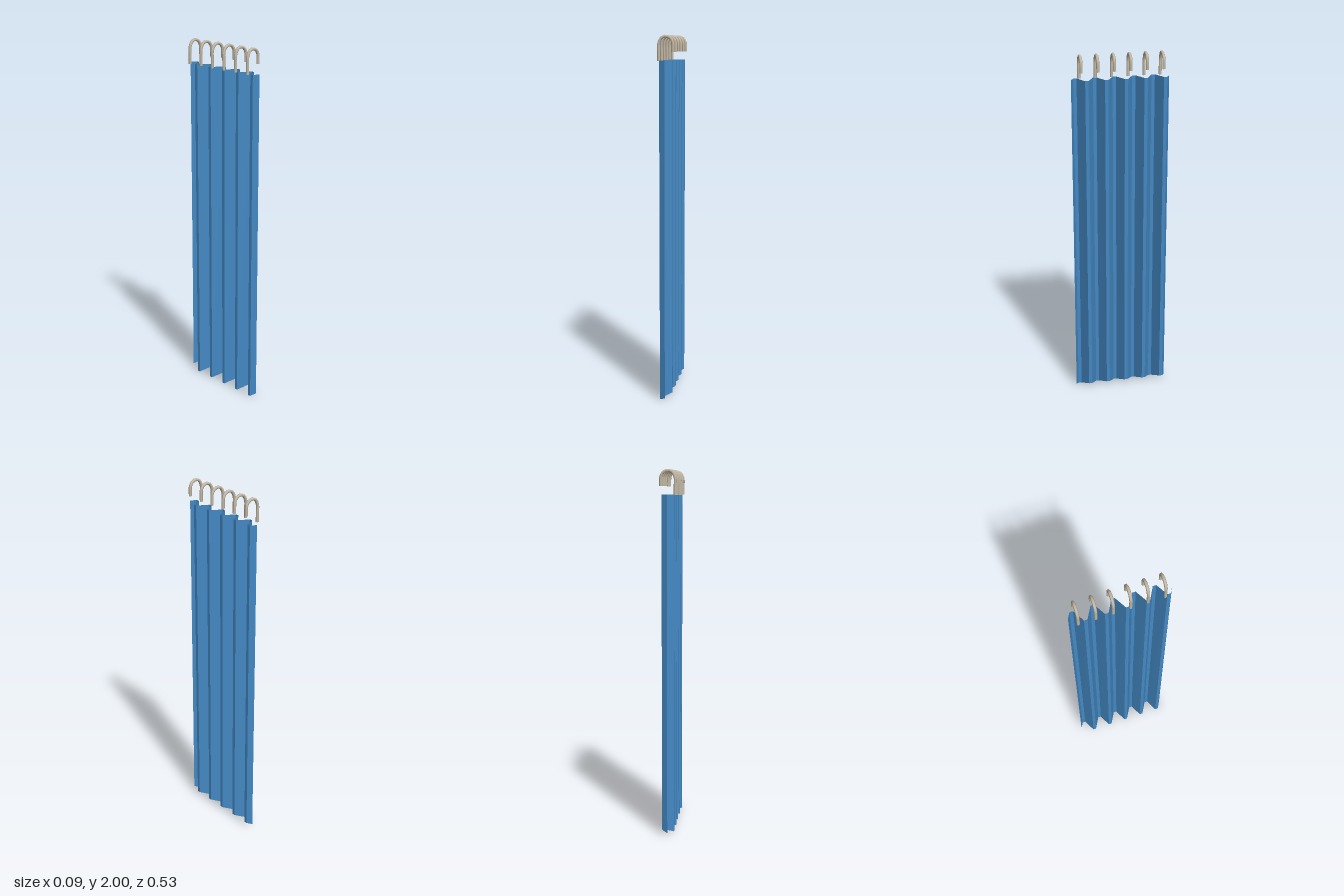
import * as THREE from 'three';

const clothBlue = new THREE.MeshStandardMaterial({ color: 0x4489c4, side: THREE.DoubleSide, flatShading: true });
const hookMetal = new THREE.MeshStandardMaterial({ color: 0xc8bda8, side: THREE.DoubleSide });

const TOP = 1.865;

// Plan of the pleats: [side, z], side being -1, 0 or 1 across the cloth
function pleatPlan() {
  const plan = [[0, -0.268]];
  for (let i = 0; i < 10; i++) {
    const side = i % 2 ? -1 : 1;
    const z = -0.241 + i * 0.0534;
    plan.push([side, z - 0.009], [side, z + 0.009]);
  }
  plan.push([0, 0.266]);
  return plan;
}

// Folded sheet whose lower hem rises towards +x
function makeCloth() {
  const positions = [];
  const plan = pleatPlan();
  const top = ([s, z]) => [s * 0.032, TOP, z];
  const hem = ([s, z]) => [s * 0.03, 0.0125 + s * 0.0125, z];
  for (let i = 0; i < plan.length - 1; i++) {
    const a = hem(plan[i]), b = hem(plan[i + 1]);
    const c = top(plan[i + 1]), d = top(plan[i]);
    positions.push(...a, ...d, ...c, ...a, ...c, ...b);
  }
  const geometry = new THREE.BufferGeometry();
  geometry.setAttribute('position', new THREE.Float32BufferAttribute(positions, 3));
  geometry.computeVertexNormals();
  return geometry;
}

// Bent wire with a long stem and a short open tip
function makeHook() {
  const points = [
    [-0.039, TOP - 0.002], [-0.039, 1.91], [-0.038, 1.958], [-0.018, 1.989],
    [0.016, 1.989], [0.036, 1.965], [0.038, 1.94], [0.038, 1.91],
  ].map(([x, y]) => new THREE.Vector3(x, y, 0));
  return new THREE.TubeGeometry(new THREE.CatmullRomCurve3(points), 16, 0.0085, 6);
}

export function createModel() {
  const model = new THREE.Group();
  model.name = 'hangingCurtain';

  const cloth = new THREE.Mesh(makeCloth(), clothBlue);
  cloth.name = 'pleatedCloth';
  model.add(cloth);

  // Row of hooks along the top edge
  const hookGeometry = makeHook();
  for (let i = 0; i < 6; i++) {
    const hook = new THREE.Mesh(hookGeometry, hookMetal);
    hook.name = `hook${i + 1}`;
    hook.position.z = -0.228 + i * 0.089;
    model.add(hook);
  }
  return model;
}
